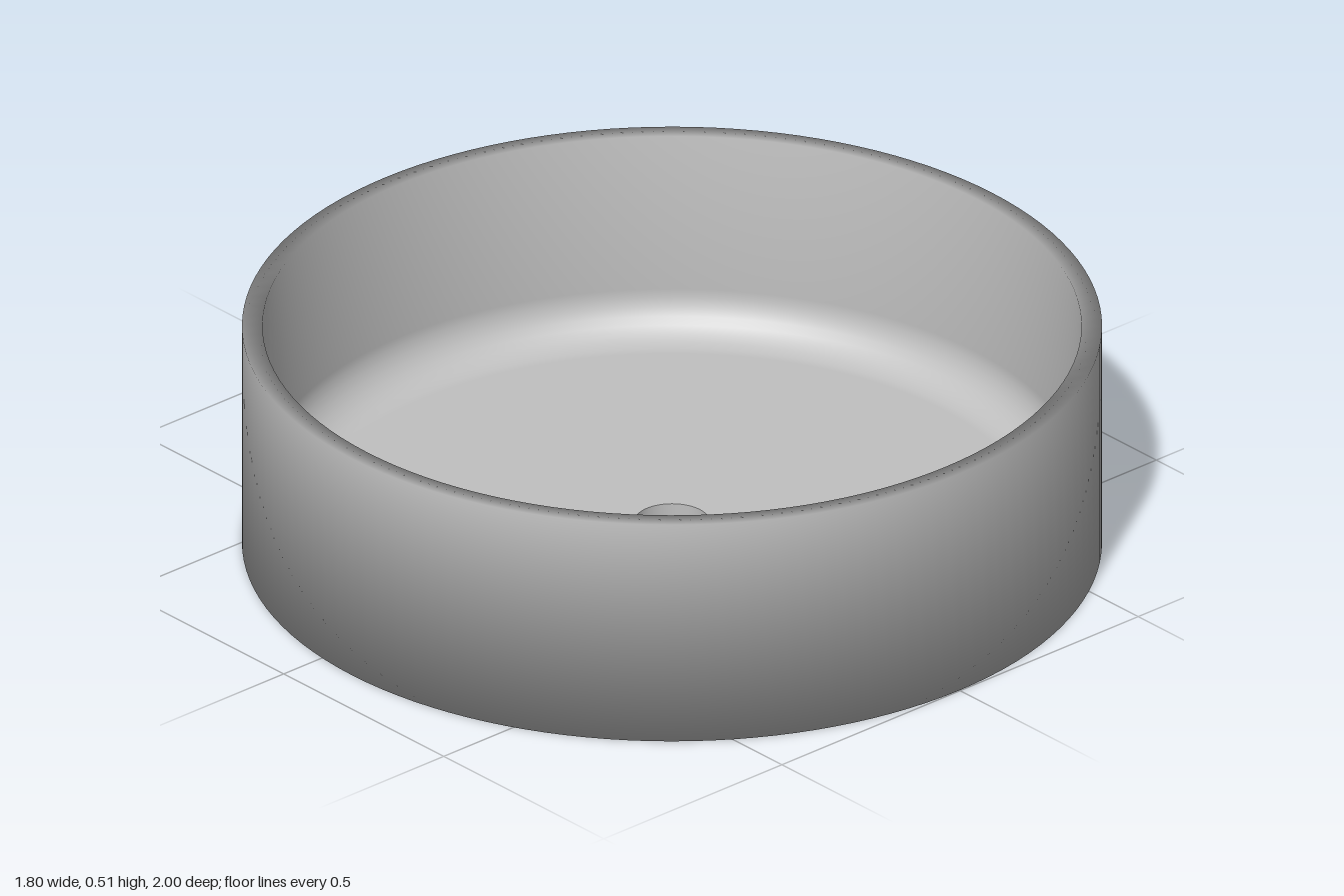
import * as THREE from 'three';

const pts = list => list.map(([r, y]) => new THREE.Vector2(r, y));

export function createModel() {
  const model = new THREE.Group();
  const clay = new THREE.MeshStandardMaterial({ color: 0xc0c0c0 });
  clay.name = 'light grey';

  // Dish: one closed profile around a drain hole, smooth over its outer edges
  const outer = 0.898, inner = 0.855, height = 0.51, floor = 0.05, hole = 0.078, fillet = 0.1;
  const profile = [[hole, 0], [outer, 0], [outer, height], [inner, height]];
  // Rounded corner between the inner wall and the floor
  for (let i = 0; i <= 8; i++) {
    const a = (i / 8) * Math.PI / 2;
    profile.push([
      inner - fillet + fillet * Math.cos(a),
      floor + fillet - fillet * Math.sin(a),
    ]);
  }
  // Repeated points keep the floor's edge at the hole sharp
  profile.push([hole, floor], [hole, floor], [hole, 0]);
  const dish = new THREE.Mesh(new THREE.LatheGeometry(pts(profile), 128), clay);
  dish.name = 'dish';
  dish.position.z = 0.1;
  model.add(dish);

  // Hanging loop: a short tube lying across the back wall
  const R = 0.102, r = 0.077, w = 0.09;
  const ring = [[R, -w], [R, w], [R, w], [r, w], [r, w], [r, -w], [r, -w], [R, -w]];
  const loop = new THREE.Mesh(new THREE.LatheGeometry(pts(ring), 64), clay);
  loop.name = 'hangingLoop';
  loop.rotation.z = Math.PI / 2;
  loop.position.set(0, 0.257, -0.898);
  model.add(loop);

  return model;
}
